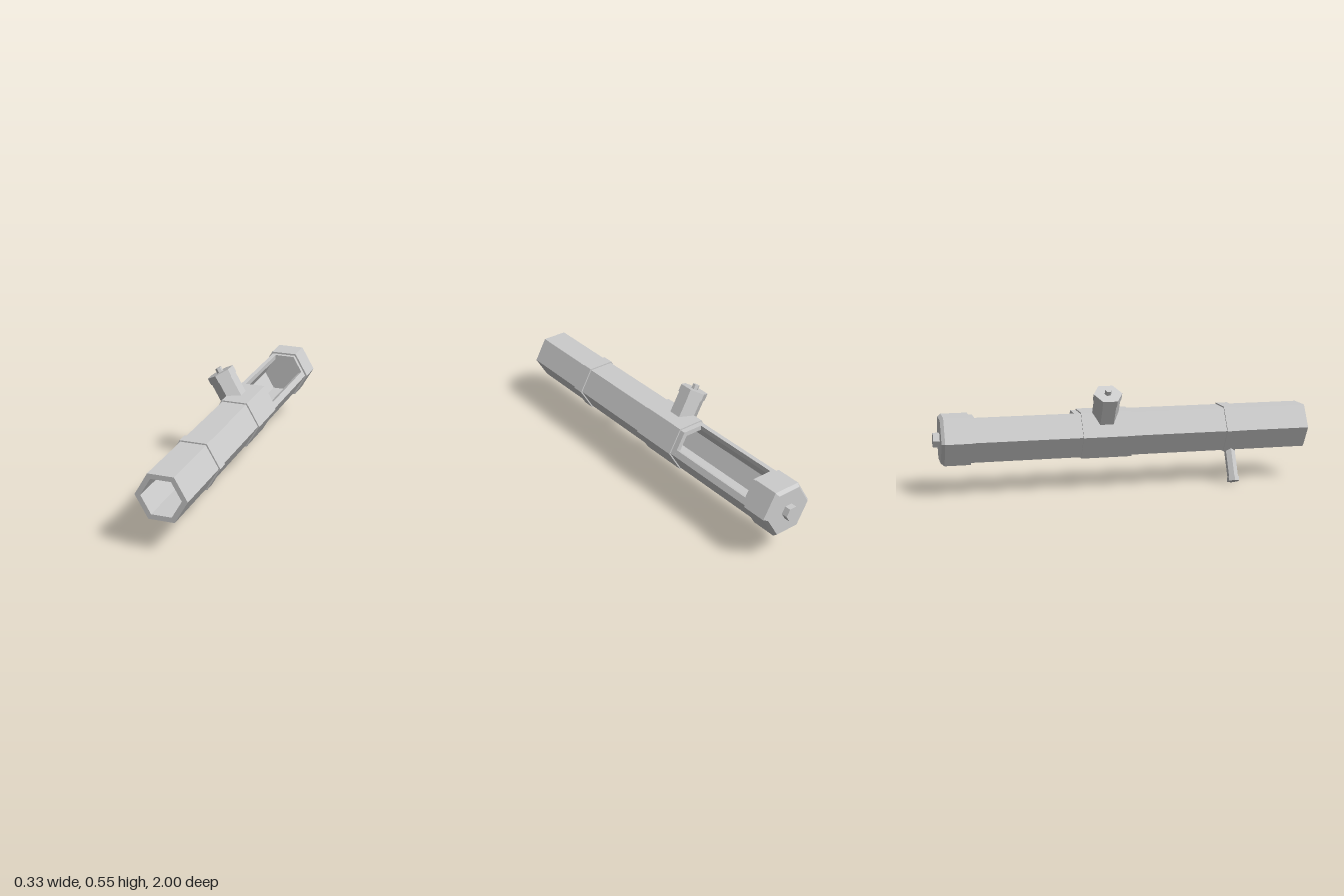
import * as THREE from 'three';

const CX = 0.022, CY = 0.29; // tube axis
const OUTER = 0.132, INNER = 0.103;
const mat = new THREE.MeshStandardMaterial({ color: 0xcccccc, flatShading: true });

const hexPoint = (r, i) => new THREE.Vector2(r * Math.cos(i * Math.PI / 3), r * Math.sin(i * Math.PI / 3));
const hexPoints = (r) => [0, 1, 2, 3, 4, 5].map((i) => hexPoint(r, i));

function addMesh(parent, name, geometry) {
  const mesh = new THREE.Mesh(geometry, mat);
  mesh.name = name;
  parent.add(mesh);
  return mesh;
}

// Extrusion of a cross-section along z, from z0 to z1
function addSection(parent, name, shape, z0, z1) {
  const geo = new THREE.ExtrudeGeometry(shape, { depth: z1 - z0, bevelEnabled: false });
  geo.translate(0, 0, z0);
  return addMesh(parent, name, geo);
}

function hexRing(outer, inner) {
  const shape = new THREE.Shape(hexPoints(outer));
  if (inner) shape.holes.push(new THREE.Path(hexPoints(inner)));
  return shape;
}

// Six-sided prism along y, from y0 to y1; turn rotates its corners
function addPrism(parent, name, rTop, rBottom, y0, y1, turn = 0) {
  const geo = new THREE.CylinderGeometry(rTop, rBottom, y1 - y0, 6, 1, false, turn);
  geo.translate(0, (y0 + y1) / 2, 0);
  return addMesh(parent, name, geo);
}

export function createModel() {
  const model = new THREE.Group();
  const body = new THREE.Group();
  body.name = 'body';
  body.position.set(CX, CY, 0);
  model.add(body);

  // Hollow barrel, open at the front
  addSection(body, 'barrel', hexRing(OUTER, INNER), -0.27, 1);

  // Trough with the loading window cut out of its upper left side
  const trough = new THREE.Shape([
    new THREE.Vector2(-0.042, OUTER * 0.866),
    ...[2, 3, 4, 5, 6].map((i) => hexPoint(OUTER, i)),
    new THREE.Vector2(0.115, 0.029),
    new THREE.Vector2(0.0935, 0.0165),
    ...[6, 5, 4, 3, 2].map((i) => hexPoint(INNER, i)),
    new THREE.Vector2(-0.042, INNER * 0.866),
  ]);
  addSection(body, 'windowTrough', trough, -0.79, -0.27);

  // Solid rear wall
  addSection(body, 'rearWall', hexRing(OUTER), -0.83, -0.79);

  // Raised bands around the barrel
  addSection(body, 'middleBand', hexRing(0.14, 0.12), -0.24, 0.03);
  addSection(body, 'frontBand', hexRing(0.14, 0.12), 0.54, 0.605);

  // Chamfered rear cap and its nub, built along y and laid towards -z
  const rear = new THREE.Group();
  rear.name = 'rearCap';
  rear.rotation.x = -Math.PI / 2;
  body.add(rear);
  addPrism(rear, 'capBody', 0.143, 0.143, 0.815, 0.95, Math.PI / 6);
  addPrism(rear, 'capChamfer', 0.128, 0.143, 0.95, 0.967, Math.PI / 6);
  addPrism(rear, 'capNub', 0.04, 0.04, 0.96, 1, Math.PI / 6);

  // Upper stub, leaning out from the middle band
  const stub = new THREE.Group();
  stub.name = 'upperStub';
  stub.position.z = -0.11;
  stub.rotation.z = Math.PI / 6;
  body.add(stub);
  addPrism(stub, 'stubBody', 0.071, 0.071, 0.102, 0.23);
  addPrism(stub, 'stubCap', 0.076, 0.076, 0.221, 0.26);
  addPrism(stub, 'stubKnob', 0.018, 0.018, 0.255, 0.285);

  // Grip, leaning out below the front band
  const grip = new THREE.Group();
  grip.name = 'grip';
  grip.position.z = 0.58;
  grip.rotation.z = Math.PI - 0.432;
  body.add(grip);
  addPrism(grip, 'gripShaft', 0.029, 0.029, 0.108, 0.285, Math.PI / 6);
  addPrism(grip, 'gripFoot', 0.033, 0.033, 0.28, 0.303, Math.PI / 6);

  return model;
}
